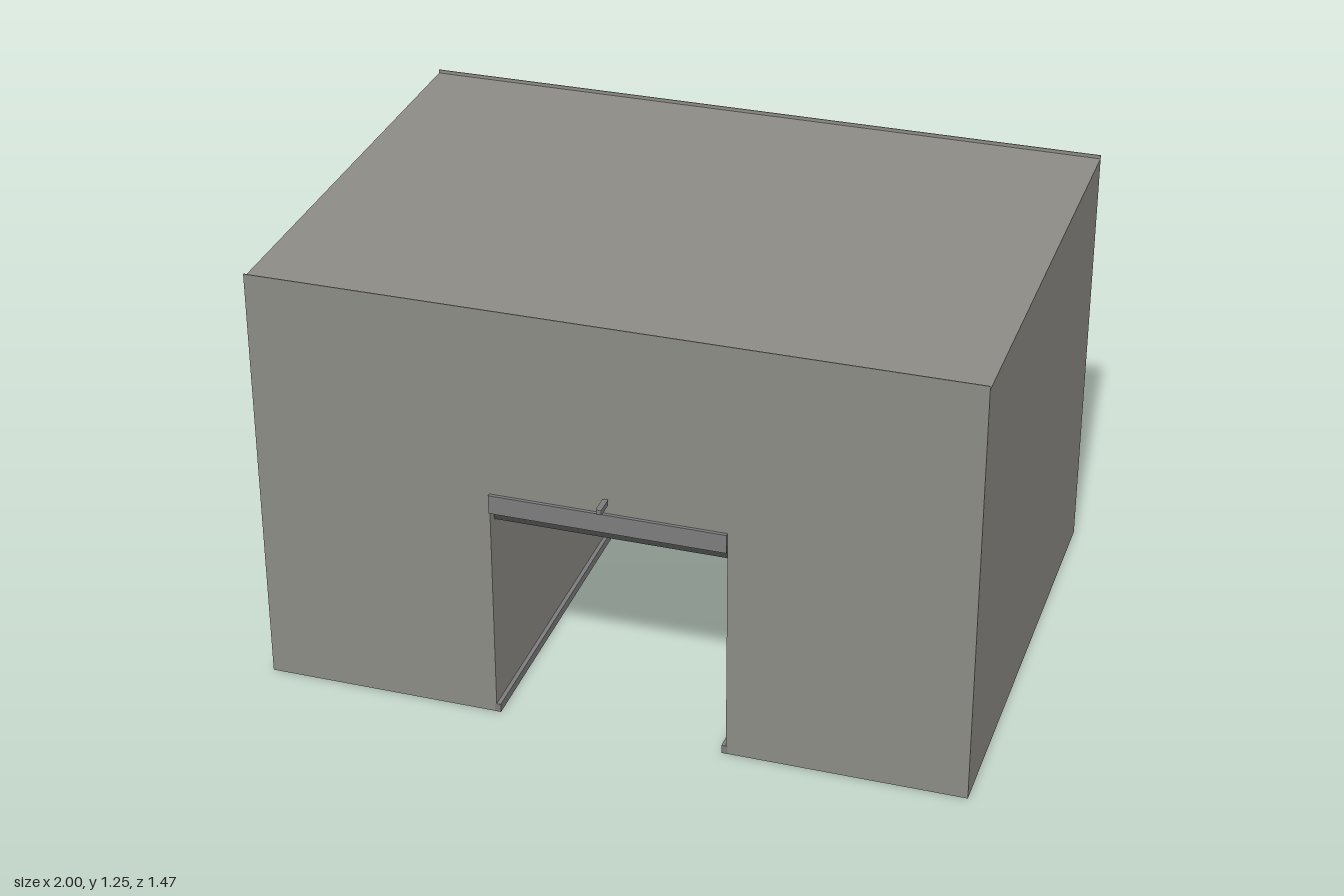
import * as THREE from 'three';

const BACK = -0.737, FRONT = 0.667;
const OPEN_X = 0.33, OPEN_Y = 0.645;

const stone = new THREE.MeshStandardMaterial({ color: 0x8c8b85 });
const grey = new THREE.MeshStandardMaterial({ color: 0x7c7c7c });
const dark = new THREE.MeshStandardMaterial({ color: 0x444444 });

// Upside-down U outline: a block with a gateway cut through it
function archShape(height) {
  return new THREE.Shape([
    [-1, 0], [-OPEN_X, 0], [-OPEN_X, OPEN_Y], [OPEN_X, OPEN_Y],
    [OPEN_X, 0], [1, 0], [1, height], [-1, height],
  ].map(([x, y]) => new THREE.Vector2(x, y)));
}

function extruded(name, height, z0, z1) {
  const geo = new THREE.ExtrudeGeometry(archShape(height), { depth: z1 - z0, bevelEnabled: false });
  geo.translate(0, 0, z0);
  const mesh = new THREE.Mesh(geo, stone);
  mesh.name = name;
  return mesh;
}

// Box given by its minimum and maximum on each axis
function box(name, material, [x0, x1], [y0, y1], [z0, z1]) {
  const mesh = new THREE.Mesh(new THREE.BoxGeometry(x1 - x0, y1 - y0, z1 - z0), material);
  mesh.position.set((x0 + x1) / 2, (y0 + y1) / 2, (z0 + z1) / 2);
  mesh.name = name;
  return mesh;
}

export function createModel() {
  const group = new THREE.Group();
  group.name = 'gatehouse';

  // Main block, with thin end walls that rise slightly above the roof
  const t = 0.003;
  group.add(
    extruded('mainBlock', 1.24, BACK + t, FRONT - t),
    extruded('frontWall', 1.25, FRONT - t, FRONT),
    extruded('backWall', 1.25, BACK, BACK + t),
  );

  // Dark panel under the passage ceiling
  group.add(box('ceilingPanel', dark, [-OPEN_X, OPEN_X], [0.605, OPEN_Y], [BACK + 0.03, FRONT - 0.03]));

  // Trim board over the front opening
  group.add(box('lintelBoard', grey, [-OPEN_X, OPEN_X], [OPEN_Y, 0.70], [FRONT, FRONT + 0.01]));

  // Low rails along the foot of both passage walls
  for (const s of [-1, 1]) {
    const xs = s > 0 ? [0.318, 0.335] : [-0.335, -0.318];
    group.add(box(s > 0 ? 'leftRail' : 'rightRail', grey, xs, [0, 0.025], [BACK - 0.0005, FRONT + 0.0005]));
  }

  // Small square peg above the board, with softened edges
  const w = 0.008, r = 0.004;
  const pegShape = new THREE.Shape([[-r, -r], [r, -r], [r, r], [-r, r]].map(([x, y]) => new THREE.Vector2(x, y)));
  const pegGeo = new THREE.ExtrudeGeometry(pegShape, {
    depth: 0.052, bevelEnabled: true, bevelThickness: w - r, bevelSize: w - r, bevelSegments: 2,
  });
  const peg = new THREE.Mesh(pegGeo, grey);
  peg.position.set(0, 0.743, 0.681);
  peg.name = 'peg';
  group.add(peg);

  return group;
}
